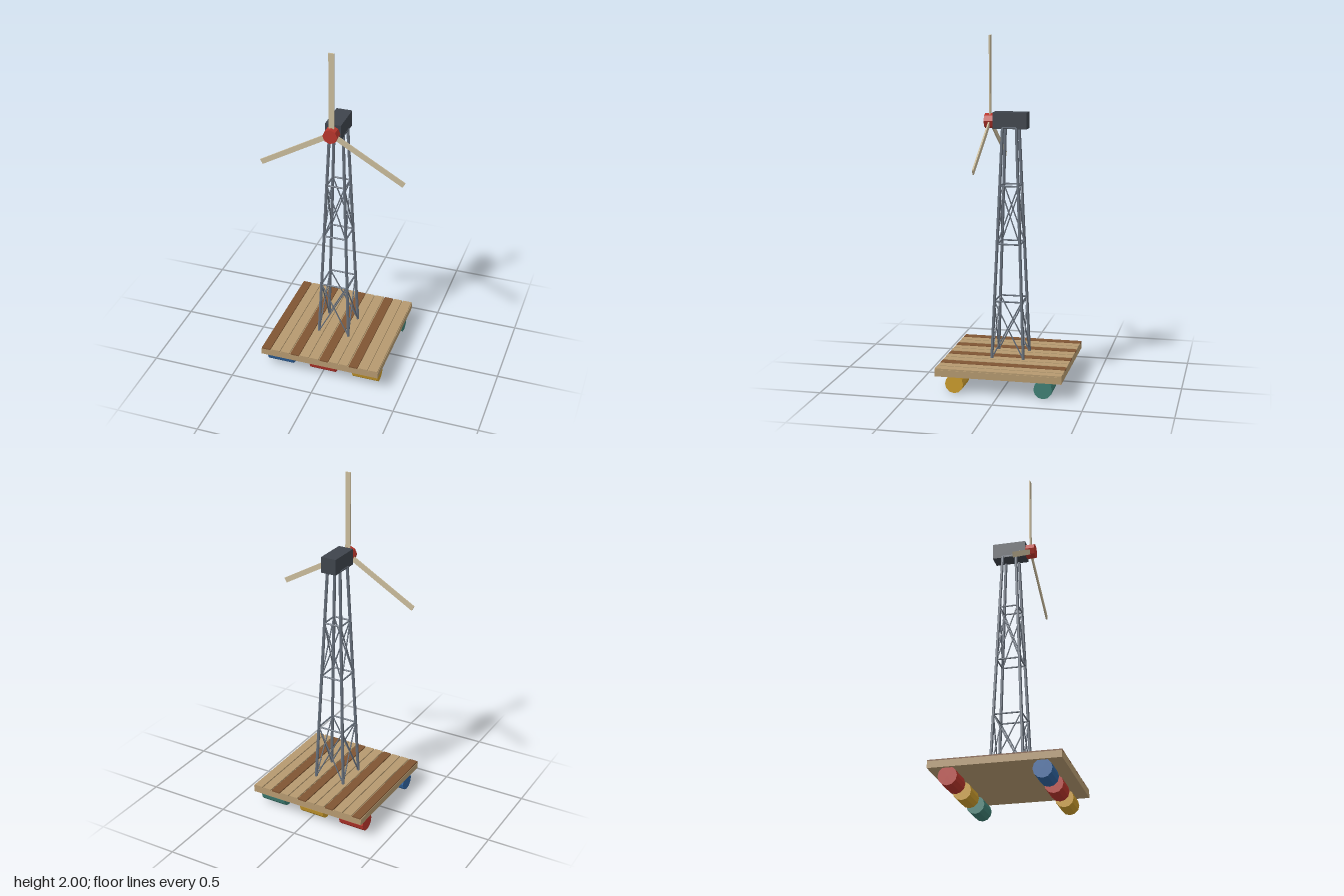
import * as THREE from 'three';

const mat = (name, color) => {
  const m = new THREE.MeshStandardMaterial({ color, flatShading: true });
  m.name = name;
  return m;
};

export function createModel() {
  const model = new THREE.Group();
  model.name = 'raftWindmill';

  const tan = mat('light wood', 0xb5996f);
  const brown = mat('dark wood', 0x7f5533);
  const steel = mat('steel', 0x68717d);
  const dark = mat('dark housing', 0x3e444c);
  const red = mat('red', 0xb8352b);
  const yellow = mat('yellow', 0xcb9c2d);
  const blue = mat('blue', 0x2f639f);
  const teal = mat('teal', 0x3f8074);
  const cream = mat('blade wood', 0xc9bb9b);

  const add = (name, geo, material, x = 0, y = 0, z = 0, parent = model) => {
    const mesh = new THREE.Mesh(geo, material);
    mesh.name = name;
    mesh.position.set(x, y, z);
    parent.add(mesh);
    return mesh;
  };

  // Straight rod between two points
  const up = new THREE.Vector3(0, 1, 0);
  const rod = (name, a, b, radius, parent) => {
    const dir = b.clone().sub(a);
    const mesh = add(name, new THREE.CylinderGeometry(radius, radius, dir.length(), 6), steel, 0, 0, 0, parent);
    mesh.position.copy(a).add(b).multiplyScalar(0.5);
    mesh.quaternion.setFromUnitVectors(up, dir.normalize());
  };

  // Deck with twelve planks, every third one dark
  add('deckBase', new THREE.BoxGeometry(0.726, 0.038, 0.726), tan, 0, 0.116, 0);
  for (let i = 0; i < 12; i++) {
    add('plank', new THREE.BoxGeometry(0.053, 0.008, 0.726), i % 3 ? tan : brown, -0.3335 + i * 0.0606, 0.139, 0);
  }

  // Float barrels, two rows of three
  const barrel = new THREE.CylinderGeometry(0.053, 0.053, 0.157, 12).rotateZ(Math.PI / 2);
  const rows = [[0.255, [blue, red, yellow]], [-0.255, [red, yellow, teal]]];
  for (const [z, colors] of rows) {
    colors.forEach((c, i) => add('floatBarrel', barrel, c, (i - 1) * 0.267, 0.053, z));
  }

  // Tapered lattice tower
  const tower = new THREE.Group();
  tower.name = 'tower';
  model.add(tower);
  const y0 = 0.143, y1 = 1.483;
  const corners = [[1, 1], [1, -1], [-1, -1], [-1, 1]];
  const point = (c, level) => {
    const t = level / 4;
    const half = THREE.MathUtils.lerp(0.093, 0.04, t);
    return new THREE.Vector3(corners[c % 4][0] * half, THREE.MathUtils.lerp(y0, y1, t), corners[c % 4][1] * half);
  };
  for (let c = 0; c < 4; c++) {
    rod('towerLeg', point(c, 0), point(c, 4), 0.009, tower);
    for (let level = 1; level <= 4; level++) {
      rod('ringBar', point(c, level), point(c + 1, level), level === 4 ? 0.007 : 0.005, tower);
    }
    for (const level of [0, 2]) {
      rod('crossBrace', point(c, level), point(c + 1, level + 1), 0.004, tower);
      rod('crossBrace', point(c + 1, level), point(c, level + 1), 0.004, tower);
    }
  }

  // Housing on top of the tower
  add('housing', new THREE.BoxGeometry(0.092, 0.093, 0.196), dark, 0, 1.521, -0.001);

  // Rotor with hub and three blades
  const rotor = new THREE.Group();
  rotor.name = 'rotor';
  rotor.position.set(0, 1.517, 0.122);
  model.add(rotor);
  add('hub', new THREE.CylinderGeometry(0.043, 0.043, 0.055, 8).rotateX(Math.PI / 2), red, 0, 0, 0, rotor);
  const blade = new THREE.BoxGeometry(0.031, 0.463, 0.008).translate(0, 0.2515, 0);
  for (let i = 0; i < 3; i++) {
    add('blade', blade, cream, 0, 0, -0.002, rotor).rotation.z = i * Math.PI * 2 / 3;
  }

  return model;
}
